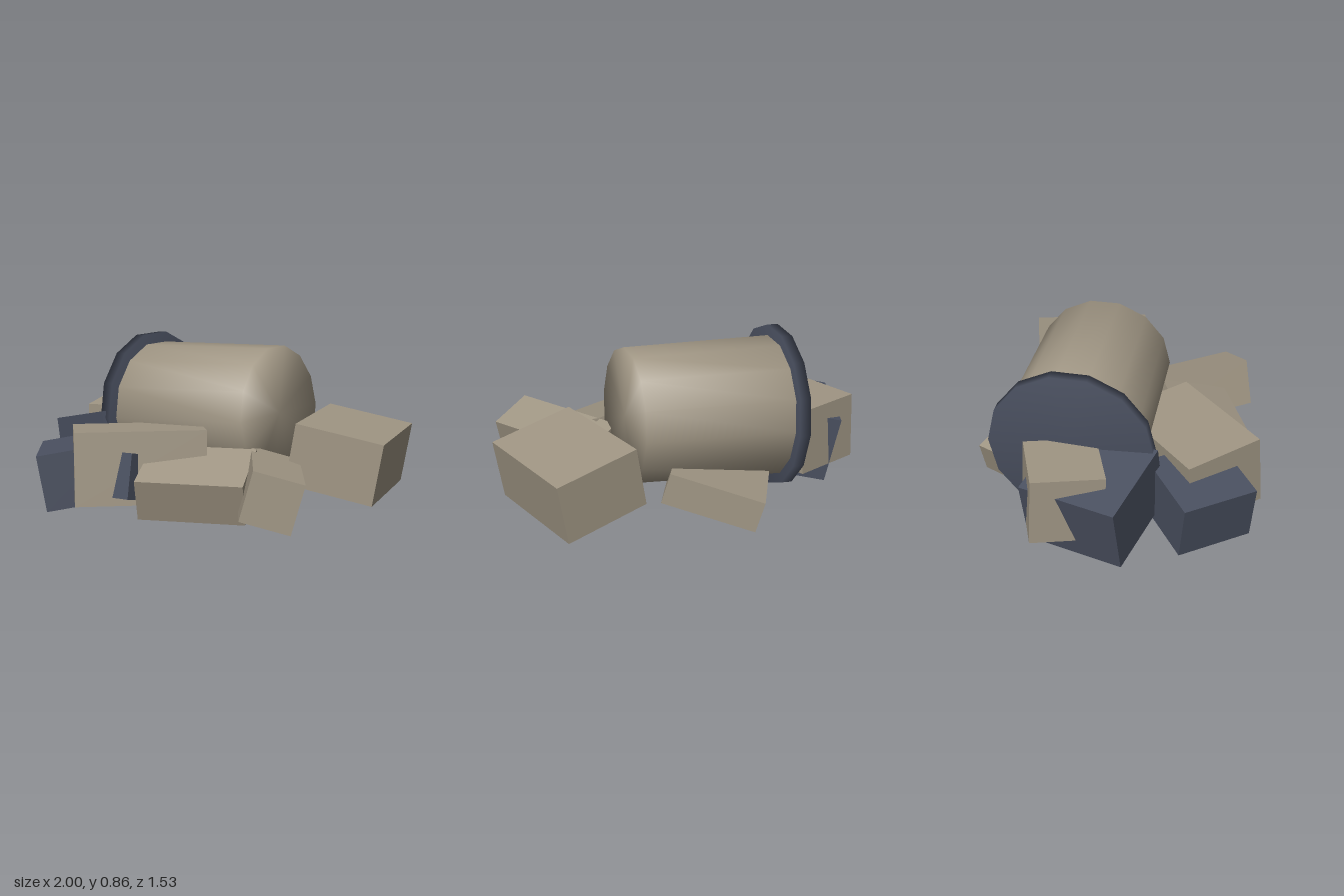
import * as THREE from 'three';
import { mergeVertices } from 'three/addons/utils/BufferGeometryUtils.js';

const V = (a) => new THREE.Vector3(...a);

// Block from its centre, its width vector, its depth vector and its height
function block(name, material, center, width, depth, height) {
  const u = V(width), w = V(depth);
  const mesh = new THREE.Mesh(new THREE.BoxGeometry(u.length(), height, w.length()), material);
  const x = u.clone().normalize();
  const y = w.clone().cross(u).normalize();
  const z = x.clone().cross(y);
  mesh.quaternion.setFromRotationMatrix(new THREE.Matrix4().makeBasis(x, y, z));
  mesh.position.copy(V(center));
  mesh.name = name;
  return mesh;
}

// Fourteen-sided drum between two points, shaded smoothly over its rims
function drum(name, material, from, to, radiusFrom, radiusTo) {
  const a = V(from), b = V(to);
  const axis = b.clone().sub(a);
  let geometry = new THREE.CylinderGeometry(radiusTo, radiusFrom, axis.length(), 14);
  geometry.deleteAttribute('normal');
  geometry.deleteAttribute('uv');
  geometry = mergeVertices(geometry, 1e-4);
  geometry.computeVertexNormals();
  const mesh = new THREE.Mesh(geometry, material);
  // a flat side faces up
  const y = axis.normalize();
  const z = new THREE.Vector3(0, 1, 0).cross(y).normalize();
  const x = y.clone().cross(z);
  mesh.quaternion.setFromRotationMatrix(new THREE.Matrix4().makeBasis(x, y, z));
  mesh.position.copy(a.add(b).multiplyScalar(0.5));
  mesh.name = name;
  return mesh;
}

export function createModel() {
  const stone = new THREE.MeshStandardMaterial({ color: 0xa09684 });
  stone.name = 'paleStone';
  const slate = new THREE.MeshStandardMaterial({ color: 0x4a5060 });
  slate.name = 'darkSlate';

  const group = new THREE.Group();
  group.name = 'rubblePile';

  group.add(
    // fallen column drum with its dark end collar
    drum('columnDrum', stone, [-0.46, 0.43, -0.24], [0.35, 0.49, -0.07], 0.38, 0.36),
    drum('drumCollar', slate, [-0.504, 0.428, -0.247], [-0.446, 0.432, -0.234], 0.435, 0.435),

    // pale blocks
    block('sideBlock', stone, [0.723, 0.29, -0.145], [0.46, -0.08, -0.03], [0.04, 0, 0.64], 0.325),
    block('frontCornerBlock', stone, [0.493, 0.19, 0.408], [0.23, -0.07, -0.1], [0.295, 0, 0.57], 0.258),
    block('frontLowBlock', stone, [0.113, 0.188, 0.45], [0.54, 0, -0.115], [0.08, -0.115, 0.36], 0.22),
    block('frontLargeBlock', stone, [-0.267, 0.248, 0.371], [0.58, 0, -0.35], [0.23, 0.035, 0.365], 0.38),
    block('backSlab', stone, [-0.027, 0.154, -0.385], [0.38, 0.14, 0.3], [-0.335, 0, 0.42], 0.175),
    block('backBlock', stone, [-0.655, 0.283, -0.282], [0.37, 0, -0.055], [0.05, -0.015, 0.37], 0.36),

    // dark blocks
    block('backDarkBlock', slate, [-0.63, 0.24, -0.133], [0.42, 0.107, 0.225], [-0.25, 0, 0.47], 0.365),
    block('frontDarkBlock', slate, [-0.587, 0.192, 0.404], [0.36, 0.07, -0.18], [0.18, 0, 0.37], 0.3),
    block('buriedDarkBlock', slate, [-0.327, 0.19, 0.41], [0.36, 0.01, 0.06], [-0.05, 0.085, 0.39], 0.235),
  );
  return group;
}
